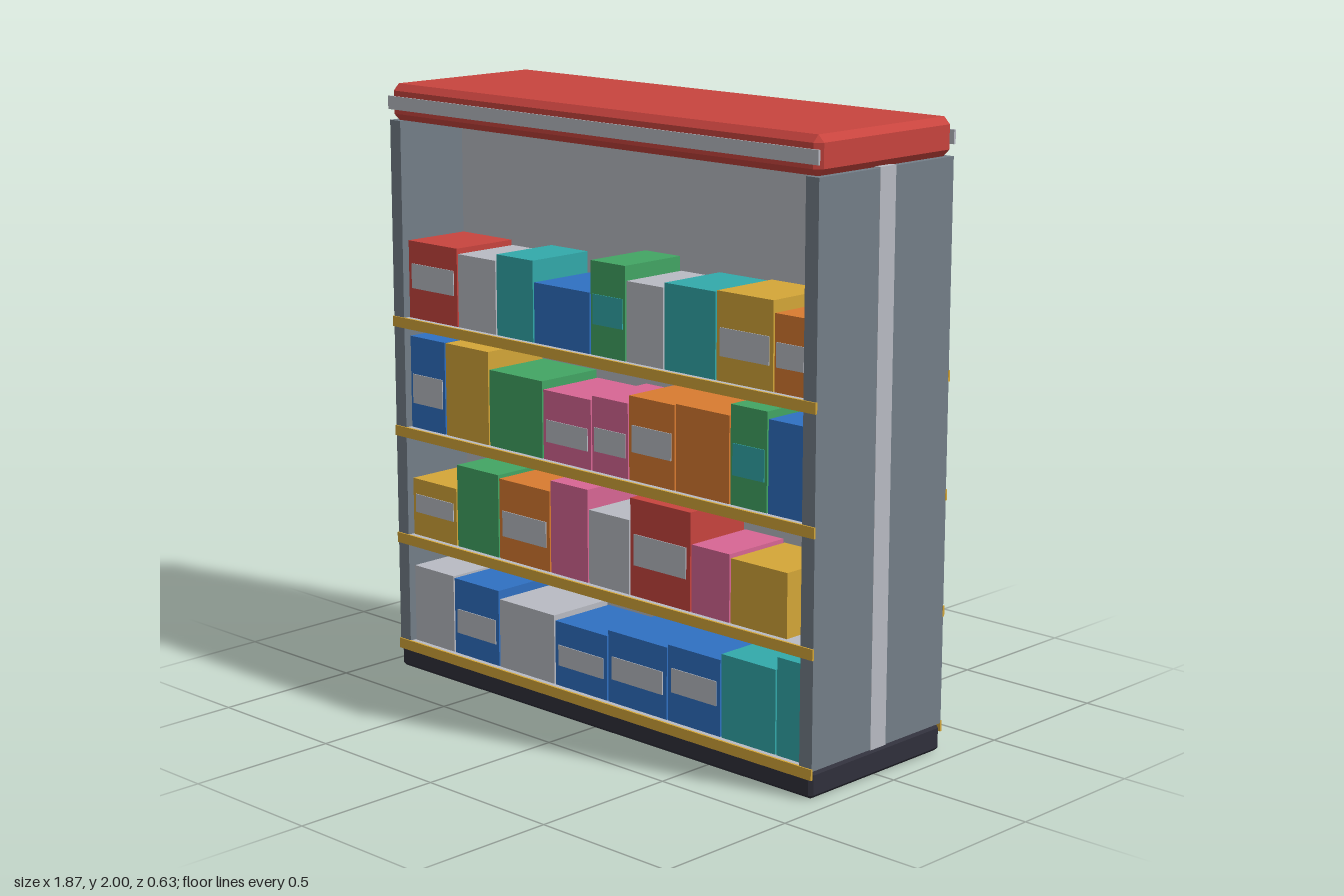
import * as THREE from 'three';
import { ConvexGeometry } from 'three/addons/geometries/ConvexGeometry.js';

const colours = {
  red: 0xc8443e, lightGrey: 0xb8bbc3, steel: 0x737e88, charcoal: 0x30303b, yellow: 0xd4a638,
  blue: 0x2f70c2, green: 0x42a564, pink: 0xd86694, teal: 0x32a9aa, orange: 0xd97b30,
};

export function createModel() {
  const model = new THREE.Group();
  model.name = 'doubleSidedShopShelf';

  const mats = {};
  for (const [name, color] of Object.entries(colours)) {
    mats[name] = new THREE.MeshStandardMaterial({ color });
    mats[name].name = name;
  }

  function add(parent, name, geometry, mat, x, y, z) {
    const mesh = new THREE.Mesh(geometry, mats[mat]);
    mesh.name = name;
    mesh.position.set(x, y, z);
    parent.add(mesh);
    return mesh;
  }
  const box = (parent, name, mat, w, h, d, x, y, z) =>
    add(parent, name, new THREE.BoxGeometry(w, h, d), mat, x, y, z);

  // Box with every edge cut off by c
  function chamferBox(w, h, d, c) {
    const points = [];
    for (const sx of [-1, 1]) for (const sy of [-1, 1]) for (const sz of [-1, 1]) {
      const x = w / 2, y = h / 2, z = d / 2;
      points.push(new THREE.Vector3(sx * x, sy * (y - c), sz * (z - c)));
      points.push(new THREE.Vector3(sx * (x - c), sy * y, sz * (z - c)));
      points.push(new THREE.Vector3(sx * (x - c), sy * (y - c), sz * z));
    }
    return new ConvexGeometry(points);
  }

  // Carcass: plinth, header, centre panel and end panels
  add(model, 'base', chamferBox(1.866, 0.088, 0.616, 0.012), 'charcoal', 0, 0.044, 0);
  add(model, 'header', chamferBox(1.866, 0.12, 0.616, 0.022), 'red', 0, 1.94, 0);
  box(model, 'centrePanel', 'lightGrey', 1.87, 1.795, 0.072, 0, 0.9855, 0);
  for (const s of [-1, 1])
    box(model, 'endPanel', 'steel', 0.05, 1.79, 0.614, s * 0.909, 0.985, 0);

  // Shelf boards, run through both faces
  const shelfTops = [0.097, 0.473, 0.847, 1.222];
  for (const y of shelfTops)
    box(model, 'shelfBoard', 'lightGrey', 1.77, 0.034, 0.608, 0, y - 0.017, 0);

  // Boxed goods: [colour, width, height, label centre (fraction of height), label colour]
  const frontRows = [];
  frontRows.push([
    ['lightGrey', 0.201, 0.265], ['blue', 0.222, 0.26, 0.44], ['lightGrey', 0.265, 0.233],
    ['blue', 0.243, 0.217, 0.48], ['blue', 0.265, 0.238, 0.49], ['blue', 0.228, 0.249, 0.55],
    ['teal', 0.228, 0.27], ['teal', 0.108, 0.312],
  ]);
  frontRows.push([
    ['yellow', 0.222, 0.196, 0.57], ['green', 0.206, 0.28], ['orange', 0.243, 0.27, 0.45],
    ['pink', 0.175, 0.307], ['lightGrey', 0.185, 0.243], ['red', 0.265, 0.317, 0.48],
    ['pink', 0.164, 0.217], ['yellow', 0.235, 0.206],
  ]);
  frontRows.push([
    ['blue', 0.175, 0.312, 0.43], ['yellow', 0.212, 0.312], ['green', 0.254, 0.254],
    ['pink', 0.222, 0.228, 0.42], ['pink', 0.164, 0.243, 0.43], ['orange', 0.201, 0.27, 0.5],
    ['orange', 0.228, 0.275], ['green', 0.153, 0.312, 0.46, 'teal'], ['blue', 0.151, 0.29],
  ]);
  frontRows.push([
    ['red', 0.243, 0.26, 0.55], ['lightGrey', 0.185, 0.243], ['teal', 0.175, 0.265],
    ['blue', 0.257, 0.196], ['green', 0.156, 0.3, 0.49, 'teal'], ['lightGrey', 0.164, 0.254],
    ['teal', 0.217, 0.27], ['yellow', 0.233, 0.275, 0.44], ['orange', 0.13, 0.238, 0.48],
  ]);

  const backRows = [];
  backRows.push([
    ['blue', 0.121, 0.31], ['blue', 0.234, 0.21, 0.5], ['pink', 0.226, 0.27, 0.48],
    ['green', 0.161, 0.28], ['blue', 0.194, 0.25, 0.5], ['red', 0.21, 0.28],
    ['lightGrey', 0.25, 0.24], ['teal', 0.202, 0.24], ['orange', 0.161, 0.28],
  ]);
  backRows.push([
    ['yellow', 0.097, 0.23, 0.5], ['lightGrey', 0.177, 0.29], ['lightGrey', 0.145, 0.21],
    ['teal', 0.169, 0.27], ['blue', 0.194, 0.2, 0.48], ['teal', 0.21, 0.24],
    ['teal', 0.194, 0.23], ['lightGrey', 0.177, 0.28], ['pink', 0.153, 0.23, 0.48],
    ['blue', 0.242, 0.25],
  ]);
  backRows.push([
    ['green', 0.137, 0.29, 0.48, 'teal'], ['lightGrey', 0.153, 0.2], ['teal', 0.266, 0.29],
    ['yellow', 0.153, 0.23, 0.5], ['pink', 0.153, 0.26], ['orange', 0.153, 0.2, 0.5],
    ['orange', 0.242, 0.24, 0.5], ['pink', 0.161, 0.21, 0.48],
    ['green', 0.194, 0.22, 0.48, 'teal'], ['lightGrey', 0.145, 0.22],
  ]);
  backRows.push([
    ['teal', 0.097, 0.18], ['red', 0.226, 0.235], ['red', 0.234, 0.25],
    ['green', 0.169, 0.28], ['yellow', 0.194, 0.285, 0.48], ['blue', 0.161, 0.23],
    ['orange', 0.153, 0.19], ['yellow', 0.169, 0.24, 0.5], ['blue', 0.161, 0.175],
    ['yellow', 0.194, 0.245, 0.48],
  ]);

  // One selling face: edge strips, header stripe and goods; the back is the same turned round
  function makeFace(name, rows) {
    const face = new THREE.Group();
    face.name = name;
    box(face, 'headerStripe', 'lightGrey', 1.87, 0.044, 0.008, 0, 1.938, 0.309);
    rows.forEach((row, i) => {
      const floor = shelfTops[i];
      box(face, 'shelfEdgeStrip', 'yellow', 1.87, 0.035, 0.008, 0, floor - 0.0165, 0.308);
      let left = -0.882;
      for (const [mat, pitch, h, labelAt, labelMat = 'lightGrey'] of row) {
        const w = pitch - 0.006, x = left + pitch / 2;
        box(face, 'productBox', mat, w, h, 0.245, x, floor + h / 2, 0.1625);
        if (labelAt)
          box(face, 'productLabel', labelMat, w * 0.87, h * 0.32, 0.004, x, floor + h * labelAt, 0.286);
        left += pitch;
      }
    });
    model.add(face);
    return face;
  }
  makeFace('frontFace', frontRows);
  makeFace('backFace', backRows).rotation.y = Math.PI;

  return model;
}
